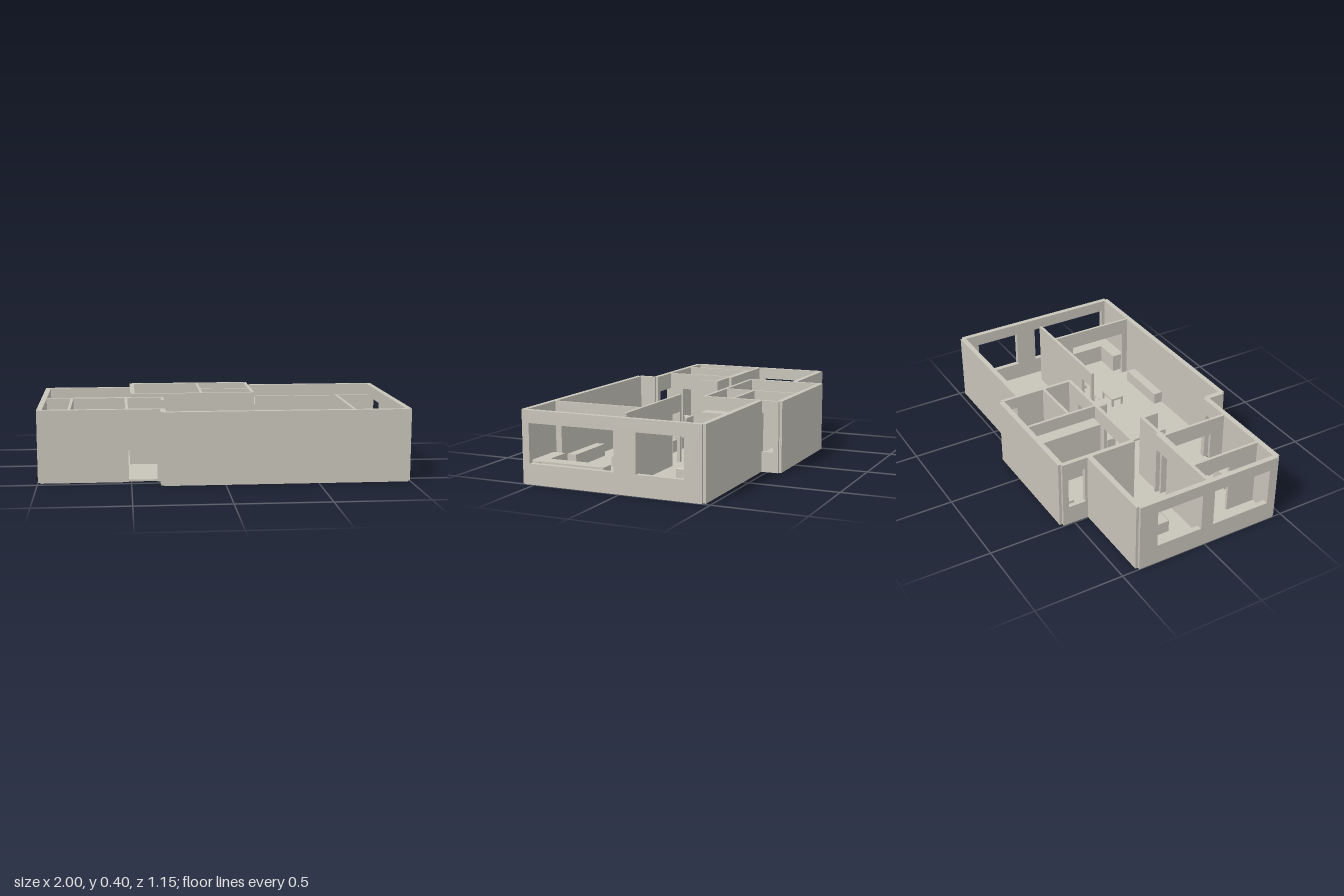
import * as THREE from 'three';
import { RoundedBoxGeometry } from 'three/addons/geometries/RoundedBoxGeometry.js';

const H = 0.395;       // wall height
const OUT = 0.03;      // outer wall thickness
const IN = 0.016;      // partition thickness
const FLOOR = 0.01;

export function createModel() {
  const model = new THREE.Group();
  model.name = 'apartment';
  const plaster = new THREE.MeshStandardMaterial({ color: 0xc8c4ba });
  plaster.name = 'plaster';

  const add = (name, geometry, parent = model) => {
    const mesh = new THREE.Mesh(geometry, plaster);
    mesh.name = name;
    parent.add(mesh);
    return mesh;
  };
  // Box given by its limits on each axis
  const block = (name, x0, x1, y0, y1, z0, z1, parent) =>
    add(name, new THREE.BoxGeometry(x1 - x0, y1 - y0, z1 - z0)
      .translate((x0 + x1) / 2, (y0 + y1) / 2, (z0 + z1) / 2), parent);
  const softBlock = (name, x0, x1, y0, y1, z0, z1, r, parent) =>
    add(name, new RoundedBoxGeometry(x1 - x0, y1 - y0, z1 - z0, 3, r)
      .translate((x0 + x1) / 2, (y0 + y1) / 2, (z0 + z1) / 2), parent);
  const group = (name) => {
    const g = new THREE.Group();
    g.name = name;
    model.add(g);
    return g;
  };

  const door = (a, b) => [a, b, 0, 0.3];
  const win = (a, b) => [a, b, 0.112, 0.327];

  // Wall along an axis at centre line c, from a to b, with doors and windows cut out
  function wall(name, axis, c, a, b, t, openings = []) {
    const shape = new THREE.Shape();
    shape.moveTo(a, 0);
    openings.filter((o) => o[2] === 0).sort((p, q) => p[0] - q[0]).forEach(([s0, s1, , top]) => {
      shape.lineTo(s0, 0);
      shape.lineTo(s0, top);
      shape.lineTo(s1, top);
      shape.lineTo(s1, 0);
    });
    shape.lineTo(b, 0);
    shape.lineTo(b, H);
    shape.lineTo(a, H);
    openings.filter((o) => o[2] > 0).forEach(([s0, s1, y0, y1]) => {
      const hole = new THREE.Path();
      hole.moveTo(s0, y0);
      hole.lineTo(s0, y1);
      hole.lineTo(s1, y1);
      hole.lineTo(s1, y0);
      shape.holes.push(hole);
    });
    const g = new THREE.ExtrudeGeometry(shape, { depth: t, bevelEnabled: false });
    if (axis === 'x') g.translate(0, 0, c - t / 2);
    else g.rotateY(-Math.PI / 2).translate(c + t / 2, 0, 0);
    add(name, g);
  }

  // Floor slab following the wall centre lines
  const plan = [[-0.985, -0.4], [-0.48, -0.4], [-0.48, -0.565], [0.217, -0.565], [0.217, -0.455],
    [0.985, -0.455], [0.985, 0.56], [-0.33, 0.56], [-0.33, 0.45], [-0.985, 0.45]];
  const floor = new THREE.Shape(plan.map(([x, z]) => new THREE.Vector2(x, -z)));
  add('floor', new THREE.ExtrudeGeometry(floor, { depth: FLOOR, bevelEnabled: false })
    .rotateX(-Math.PI / 2));

  // Outer walls
  wall('backWallRightWing', 'x', -0.4, -0.985, -0.48, OUT);
  wall('backWallCentre', 'x', -0.565, -0.48, 0.217, OUT);
  wall('backWallLeftWing', 'x', -0.455, 0.217, 0.985, OUT);
  wall('frontWallLong', 'x', 0.56, -0.33, 0.985, OUT);
  wall('frontWallEntrance', 'x', 0.45, -0.985, -0.33, OUT, [door(-0.515, -0.36)]);
  wall('entranceStepWall', 'z', -0.33, 0.45, 0.56, OUT);
  wall('leftOuterWall', 'z', 0.985, -0.455, 0.56, OUT, [win(-0.36, -0.095), win(0.03, 0.525)]);
  wall('rightOuterWall', 'z', -0.985, -0.4, 0.45, OUT, [win(-0.295, -0.025), win(0.05, 0.4)]);

  // Central block
  wall('blockRightWall', 'z', -0.483, -0.565, -0.125, 0.025, [win(-0.53, -0.43)]);
  wall('blockLeftWall', 'z', 0.222, -0.565, -0.125, 0.02, [win(-0.535, -0.47)]);
  wall('blockFrontWall', 'x', -0.125, -0.483, 0.222, 0.02, [door(-0.43, -0.19), door(0, 0.1)]);
  wall('blockPartition', 'z', -0.081, -0.565, -0.125, IN);
  wall('bathroomPartition', 'x', -0.298, -0.081, 0.222, IN);

  // Partitions of the entrance side
  wall('bedroomWall', 'x', 0.02, -0.985, -0.49, 0.02, [door(-0.61, -0.505)]);
  wall('hallWall', 'x', 0.035, -0.82, -0.31, 0.02, [door(-0.61, -0.505)]);
  wall('hallReturn', 'z', -0.318, 0.035, 0.133, IN);
  wall('storePartition', 'z', -0.827, 0.02, 0.45, IN, [door(0.1, 0.26)]);
  wall('hallPartition', 'z', -0.522, 0.03, 0.45, IN, [door(0.12, 0.35)]);

  // Partitions of the living side
  wall('livingWall', 'x', 0.028, 0.22, 0.875, 0.018, [door(0.24, 0.335)]);
  wall('kitchenPartition', 'z', 0.692, 0.03, 0.56, IN, [door(0.15, 0.51)]);

  // Beds
  [[-0.83, -0.383], [0.445, -0.433]].forEach(([x, z], i) => {
    const bed = group(i ? 'leftBed' : 'rightBed');
    softBlock('mattress', x, x + 0.228, FLOOR, 0.085, z, z + 0.273, 0.006, bed);
    softBlock('pillow', x + 0.023, x + 0.205, 0.08, 0.105, z + 0.02, z + 0.08, 0.008, bed);
  });

  // Wardrobes, counters and fittings
  block('leftWardrobe', 0.23, 0.31, FLOOR, 0.32, -0.435, -0.14);
  block('blockWardrobe', -0.167, -0.09, FLOOR, 0.32, -0.54, -0.145);
  block('blockCounter', -0.463, -0.167, FLOOR, 0.12, -0.55, -0.48);
  block('bathtub', -0.035, 0.2, FLOOR, 0.09, -0.54, -0.45);
  block('basin', -0.065, 0, FLOOR, 0.09, -0.26, -0.17);
  block('kitchenCounterSide', 0.883, 0.96, FLOOR, 0.12, 0.11, 0.545);
  block('kitchenCounterFront', 0.73, 0.883, FLOOR, 0.12, 0.47, 0.545);
  block('kitchenCornerPost', 0.945, 0.97, FLOOR, 0.118, 0.485, 0.545);
  block('mediaConsole', 0.26, 0.585, FLOOR, 0.08, 0.49, 0.545);
  block('hallCabinet', -0.68, -0.572, FLOOR, 0.1, 0.355, 0.425);

  // Tables: a top on four legs
  function table(name, x0, x1, z0, z1, h) {
    const g = group(name);
    const w = 0.012;
    block('tableTop', x0, x1, h - 0.012, h, z0, z1, g);
    for (const x of [x0, x1 - w])
      for (const z of [z0, z1 - w]) block('tableLeg', x, x + w, FLOOR, h - 0.012, z, z + w, g);
  }
  table('diningTable', -0.145, 0.027, 0.047, 0.307, 0.12);
  table('coffeeTable', 0.362, 0.487, 0.245, 0.322, 0.065);

  // Stools: two behind the table, two tucked under its sides
  [[-0.118, 0.013], [0.005, 0.013], [-0.119, 0.19], [0.001, 0.19]].forEach(([x, z]) =>
    block('stool', x - 0.028, x + 0.028, FLOOR, 0.08, z - 0.028, z + 0.028));

  // Sofa with two seats
  const sofa = group('sofa');
  softBlock('sofaBase', 0.308, 0.572, FLOOR, 0.045, 0.065, 0.175, 0.008, sofa);
  softBlock('sofaBack', 0.31, 0.57, 0.02, 0.115, 0.06, 0.09, 0.012, sofa);
  for (const s of [-1, 1]) {
    const x = 0.44 + s * 0.06;
    softBlock('seatCushion', x - 0.058, x + 0.058, 0.04, 0.07, 0.085, 0.18, 0.01, sofa);
    softBlock('backCushion', x - 0.058, x + 0.058, 0.06, 0.122, 0.068, 0.102, 0.014, sofa);
    const a = 0.44 + s * 0.127;
    softBlock('armrest', a - 0.01, a + 0.01, FLOOR, 0.09, 0.065, 0.178, 0.008, sofa);
  }

  return model;
}
